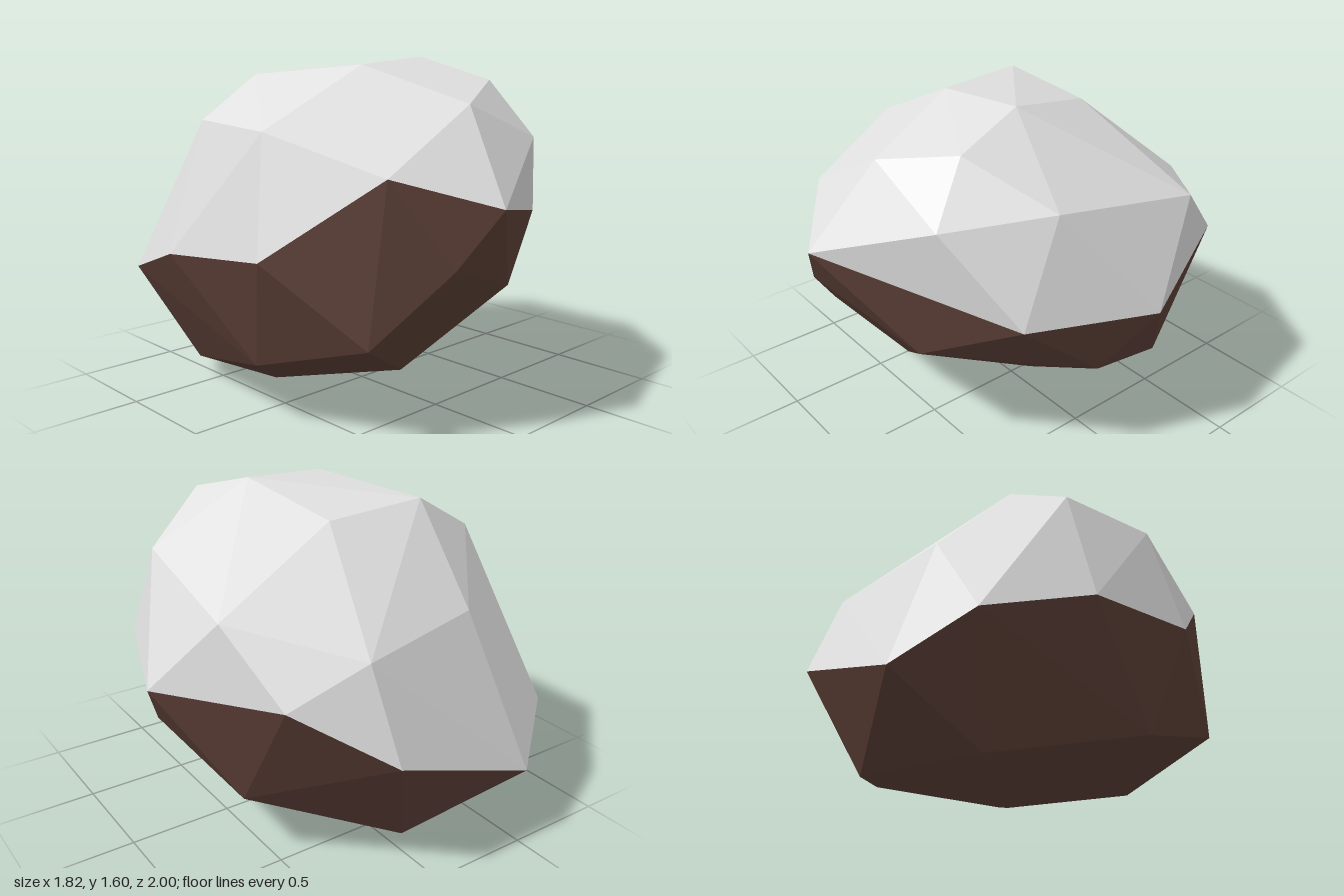
import * as THREE from 'three';
import { ConvexGeometry } from 'three/addons/geometries/ConvexGeometry.js';

// Corners of the snow cap, rim included
const SNOW = [
  // rim
  [-0.163, 1.017, 1], [0.4, 1.246, 0.715], [0.7, 0.84, 0.51], [0.907, 0.8, -0.08],
  [0.615, 0.883, -0.732], [0.225, 0.627, -0.992], [-0.515, 0.376, -0.998], [-0.795, 0.575, -0.78],
  [-0.913, 0.74, -0.288], [-0.86, 0.788, 0.283], [-0.547, 1.149, 0.717],
  // middle ring
  [-0.045, 1.415, 0.705], [0.312, 1.5, 0.52], [0.667, 1.303, 0.3], [0.732, 1.19, -0.425],
  [0.272, 1.053, -0.83], [-0.362, 1.1, -0.71], [-0.726, 1.329, -0.272], [-0.753, 1.31, 0.193],
  // crown
  [0.232, 1.6, 0.165], [-0.205, 1.573, 0.214], [-0.383, 1.52, -0.327], [0.119, 1.49, -0.322],
];

// Corners of the bare rock below the rim
const ROCK = [
  [-0.344, 0.775, 0.9], [0.237, 0.579, 0.719], [-0.607, 0.446, 0.672], [0.768, 0.53, 0.142],
  [0.622, 0.315, -0.393], [-0.759, 0.285, 0.127], [-0.227, 0.227, 0.489], [0.24, 0.205, 0.073],
  [0.037, 0.13, -0.789], [-0.573, 0.1, -0.594], [-0.324, 0, -0.291],
];

const key = (p) => p.map((v) => Math.round(v * 1000)).join();

function facetedMesh(name, positions, material) {
  const geometry = new THREE.BufferGeometry();
  geometry.setAttribute('position', new THREE.Float32BufferAttribute(positions, 3));
  geometry.computeVertexNormals(); // unshared corners keep every facet flat
  const mesh = new THREE.Mesh(geometry, material);
  mesh.name = name;
  return mesh;
}

export function createModel() {
  const snowMaterial = new THREE.MeshStandardMaterial({ color: 0xe0e0e0 });
  snowMaterial.name = 'snow white';
  const rockMaterial = new THREE.MeshStandardMaterial({ color: 0x5d4037 });
  rockMaterial.name = 'rock brown';

  // Boulder hull, split into snow and rock: a facet is snow when all its corners are
  const hull = new ConvexGeometry([...SNOW, ...ROCK].map((p) => new THREE.Vector3(...p)));
  const position = hull.getAttribute('position');
  const snowKeys = new Set(SNOW.map(key));
  const snow = [], rock = [];
  for (let i = 0; i < position.count; i += 3) {
    const corners = [0, 1, 2].map((j) => [position.getX(i + j), position.getY(i + j), position.getZ(i + j)]);
    const target = corners.every((c) => snowKeys.has(key(c))) ? snow : rock;
    target.push(...corners.flat());
  }

  const group = new THREE.Group();
  group.name = 'snowyBoulder';
  group.add(facetedMesh('snowCap', snow, snowMaterial), facetedMesh('rockBase', rock, rockMaterial));
  return group;
}
